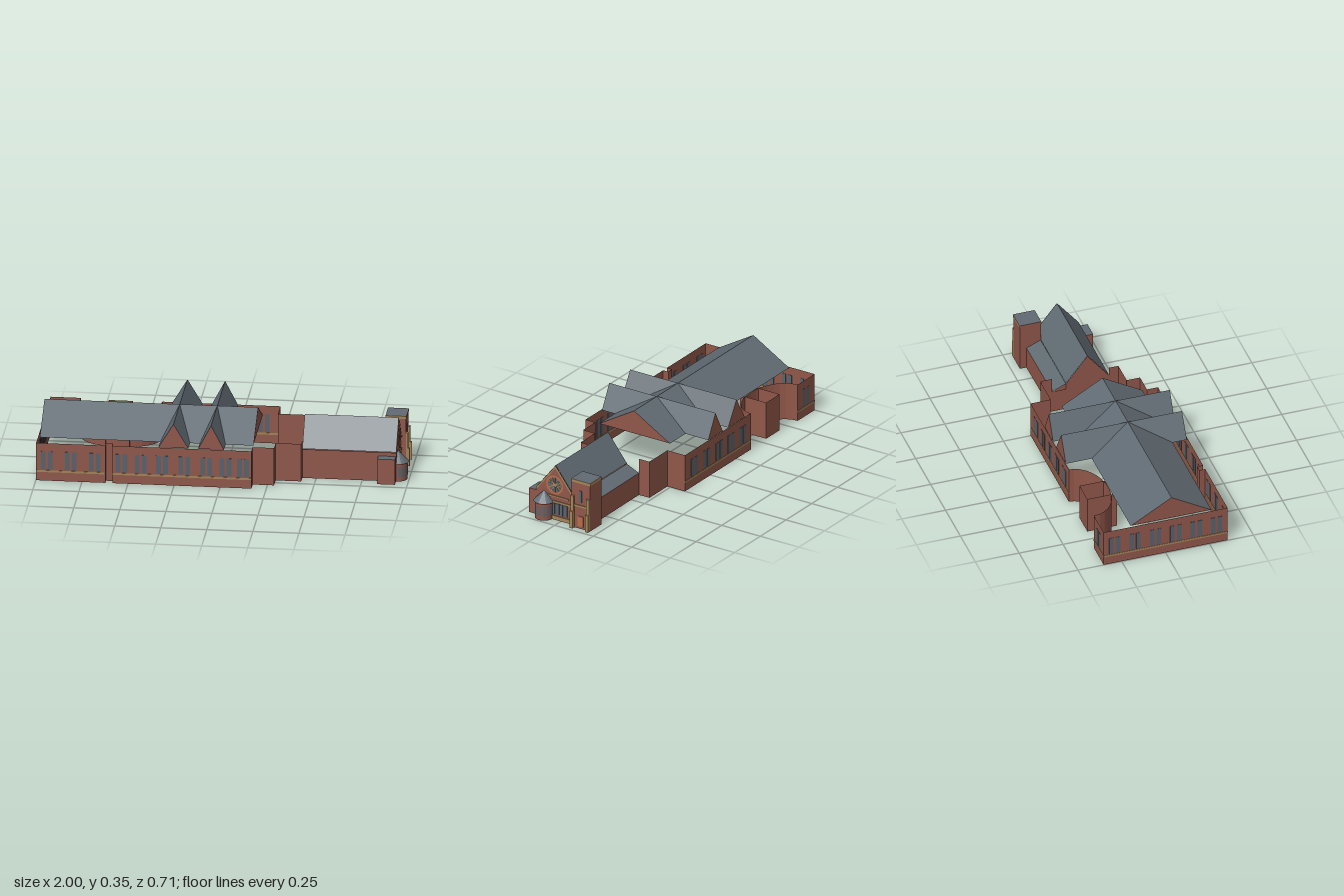
import * as THREE from 'three';

const mat = (name, color) => new THREE.MeshStandardMaterial({ name, color, side: THREE.DoubleSide });

export function createModel() {
  const brick = mat('brick', 0x91574a), slate = mat('slate', 0x616b73), stone = mat('stone', 0xa3855a);
  const glass = mat('glass', 0x57636d), terracotta = mat('terracotta', 0xb96c4b);
  const model = new THREE.Group();
  model.name = 'hallBuilding';

  const add = (name, geometry, material, parent = model) => {
    const mesh = new THREE.Mesh(geometry, material);
    mesh.name = name;
    parent.add(mesh);
    return mesh;
  };
  // flat convex polygons, each a list of [x, y, z] corners
  const faces = (name, material, polygons) => {
    const p = [];
    for (const c of polygons)
      for (let i = 1; i < c.length - 1; i++) p.push(...c[0], ...c[i], ...c[i + 1]);
    const g = new THREE.BufferGeometry();
    g.setAttribute('position', new THREE.Float32BufferAttribute(p, 3));
    g.computeVertexNormals();
    return add(name, g, material);
  };
  // upright thin wall along a ground path of [x, z] points
  const wall = (name, material, path, h) => faces(name, material, path.slice(1).map(([x, z], i) => {
    const [a, b] = path[i];
    return [[a, 0, b], [x, 0, z], [x, h, z], [a, h, b]];
  }));
  const box = (name, material, x0, x1, y0, y1, z0, z1) => {
    const m = add(name, new THREE.BoxGeometry(x1 - x0, y1 - y0, z1 - z0), material);
    m.position.set((x0 + x1) / 2, (y0 + y1) / 2, (z0 + z1) / 2);
    return m;
  };

  // ---- hall: unroofed outer walls with steps, a slot and a curved recess
  const H = 0.215, RZ = 0.037, TOP = 0.35;
  const recess = [];
  for (let i = 0; i <= 16; i++) {
    const a = Math.PI * i / 16;
    recess.push([-0.612 + 0.222 * Math.cos(a), -0.345 + 0.15 * Math.sin(a)]);
  }
  wall('hallWalls', brick, [
    [0.425, 0.16], [0.425, 0.214], [0.286, 0.214], [0.286, 0.29], [0.17, 0.29], [0.17, 0.353],
    [-0.585, 0.353], [-0.585, 0.32], [-0.623, 0.32], [-0.623, 0.353], [-0.998, 0.353],
    [-0.998, -0.353], [-0.834, -0.353], ...recess.reverse(),
    [0.25, -0.345], [0.25, -0.231], [0.425, -0.231], [0.425, -0.165]], H);
  wall('backPorch', brick, [[-0.68, -0.17], [-0.68, -0.338], [-0.55, -0.338], [-0.55, -0.17]], H);

  // hall roof and its end gables
  const zF = 0.265, zB = -0.195, xL = -0.988, xR = 0.172;
  faces('hallRoof', slate, [zF, zB].map(z => [[xL, H, z], [xR, H, z], [xR, TOP, RZ], [xL, TOP, RZ]]));
  faces('hallGables', brick, [xL + 0.002, xR - 0.002].map(x => [[x, H, zF], [x, H, zB], [x, TOP, RZ]]));

  // two cross roofs with brick gables
  for (const [x, w] of [[-0.254, 0.081], [-0.05, 0.07]]) {
    for (const [eave, end] of [[zF, 0.346], [zB, -0.343]]) {
      faces('crossRoof', slate, [-w, w].map(d =>
        [[x, TOP, end], [x, TOP, RZ], [x + d, H, eave], [x + d, H, end]]));
      faces('crossGable', brick, [[[x - w, H, end], [x + w, H, end], [x, TOP, end]]]);
    }
  }

  // paired windows and stone sill bands
  const windowPair = (c, z) => [-0.019, 0.019].forEach(d =>
    box('hallWindow', glass, c + d - 0.0125, c + d + 0.0125, 0.065, 0.168, z - 0.002, z + 0.002));
  [-0.94, -0.81, -0.68, -0.535, -0.43, -0.315, -0.195, -0.075, 0.03, 0.125].forEach(c => windowPair(c, 0.353));
  [-0.31, -0.195, -0.08, 0.04, 0.16].forEach(c => windowPair(c, -0.345));
  windowPair(-0.916, -0.353);
  for (let i = 0; i < 6; i++)
    for (const d of [-0.019, 0.019]) {
      const z = -0.29 + i * 0.116 + d;
      box('endWindow', glass, -1, -0.996, 0.065, 0.168, z - 0.0125, z + 0.0125);
    }
  const band = (x0, x1, z) => box('sillBand', stone, x0, x1, 0.049, 0.06, z - 0.002, z + 0.002);
  band(-0.998, -0.623, 0.353);
  band(-0.585, 0.17, 0.353);
  band(-0.39, 0.25, -0.345);
  band(-0.998, -0.834, -0.353);
  box('sillBand', stone, -1, -0.996, 0.049, 0.06, -0.353, 0.353);

  // ---- chapel: side walls, gables, roof and lean-to aisle
  const cL = 0.425, cR = 0.935, E = 0.165, R = 0.32, cF = 0.16, cB = -0.085;
  wall('chapelFrontWall', brick, [[cL, cF], [cR, cF]], E);
  wall('chapelBackWall', brick, [[cL, cB], [cR, cB]], E);
  faces('chapelGables', brick, [cL, cR].map(x => [[x, 0, cF], [x, 0, cB], [x, E, cB], [x, R, RZ], [x, E, cF]]));
  faces('chapelRoof', slate, [cF, cB].map(z =>
    [[cL, E + 0.003, z], [cR, E + 0.003, z], [cR, R + 0.003, RZ], [cL, R + 0.003, RZ]]));
  wall('aisleWall', brick, [[cL, cB], [cL, -0.163], [0.85, -0.166], [0.85, cB]], 0.13);
  faces('aisleRoof', slate, [[[cL, E, cB], [0.85, E, cB], [0.85, 0.13, -0.166], [cL, 0.13, -0.163]]]);

  // side porch beside the turret
  wall('sidePorch', brick, [[0.837, cF], [0.837, 0.21], [0.933, 0.21], [0.933, cF]], 0.144);
  faces('sidePorchRoof', slate, [[[0.837, 0.144, cF], [0.933, 0.144, cF], [0.933, 0.144, 0.21], [0.837, 0.144, 0.21]]]);

  // end front: stone trims and lower windows
  const plate = (name, m, z0, z1, y0, y1, x = cR) => box(name, m, x, x + 0.005, y0, y1, z0, z1);
  plate('upperBand', stone, -0.05, 0.085, 0.135, 0.142);
  plate('lowerBand', stone, -0.068, 0.053, 0.1, 0.112);
  plate('baseBand', stone, -0.084, 0.06, 0, 0.023);
  for (const [a, b] of [[0.04, 0.055], [0.013, 0.035], [-0.012, 0.008], [-0.041, -0.019]])
    plate('frontWindow', glass, a, b, 0.033, 0.098);
  faces('gableTrim', stone, [cF, cB].map(z => [[cR + 0.004, R, RZ], [cR + 0.004, E, z],
    [cR + 0.004, E - 0.014, z], [cR + 0.004, R - 0.014, RZ]]));

  // rose window
  const rose = new THREE.Group();
  rose.name = 'roseWindow';
  rose.position.set(cR, 0.207, 0.039);
  rose.rotation.y = Math.PI / 2;
  model.add(rose);
  add('roseGlass', new THREE.CircleGeometry(0.045, 32), glass, rose).position.z = 0.003;
  add('roseRing', new THREE.RingGeometry(0.043, 0.055, 32), terracotta, rose).position.z = 0.006;
  add('roseHub', new THREE.CircleGeometry(0.01, 16), stone, rose).position.z = 0.006;
  for (let i = 0; i < 6; i++) {
    const s = add('roseSpoke', new THREE.BoxGeometry(0.088, 0.005, 0.002), stone, rose);
    s.position.z = 0.004;
    s.rotation.z = Math.PI * i / 6;
  }

  // round turret with conical roof
  const turret = new THREE.Group();
  turret.name = 'turret';
  turret.position.set(0.94, 0, 0.108);
  model.add(turret);
  add('turretWall', new THREE.CylinderGeometry(0.051, 0.051, 0.1, 16, 1, true), brick, turret).position.y = 0.05;
  const cone = new THREE.ConeGeometry(0.058, 0.06, 16, 1, true).toNonIndexed();
  cone.computeVertexNormals();
  add('turretRoof', cone, slate, turret).position.y = 0.13;
  for (let i = 0; i < 8; i++)
    add('turretWindow', new THREE.CylinderGeometry(0.0525, 0.0525, 0.058, 2, 1, true, 0.08 + i * Math.PI / 8, 0.25),
      glass, turret).position.y = 0.053;

  // ---- square tower with stepped buttresses
  const tL = 0.85, tR = 0.96, tF = -0.083, tB = -0.203;
  wall('towerWalls', brick, [[tL, tF], [tR, tF], [tR, tB], [tL, tB], [tL, tF]], 0.286);
  faces('towerRoof', slate, [[[tL, 0.286, tF], [tR, 0.286, tF], [tR, 0.286, tB], [tL, 0.286, tB]]]);
  plate('towerTopBand', stone, tB, tF, 0.27, 0.286, tR - 0.002);
  box('towerTopBand', stone, tL, tR, 0.27, 0.286, tF - 0.002, tF + 0.002);
  box('towerTopBand', stone, tL, tR, 0.27, 0.286, tB - 0.002, tB + 0.002);
  plate('towerBand', stone, -0.182, -0.102, 0.129, 0.14, tR - 0.001);
  plate('towerSlit', glass, -0.15, -0.135, 0.157, 0.226, tR - 0.001);
  plate('towerDoor', terracotta, -0.161, -0.125, 0.015, 0.074, tR - 0.001);
  for (const [a, b] of [[-0.102, tF], [tB, -0.185]]) {
    box('lowerButtress', stone, tR, 0.981, 0, 0.1, a, b);
    box('upperButtress', stone, tR, 0.972, 0.1, 0.19, a, b);
  }
  return model;
}
